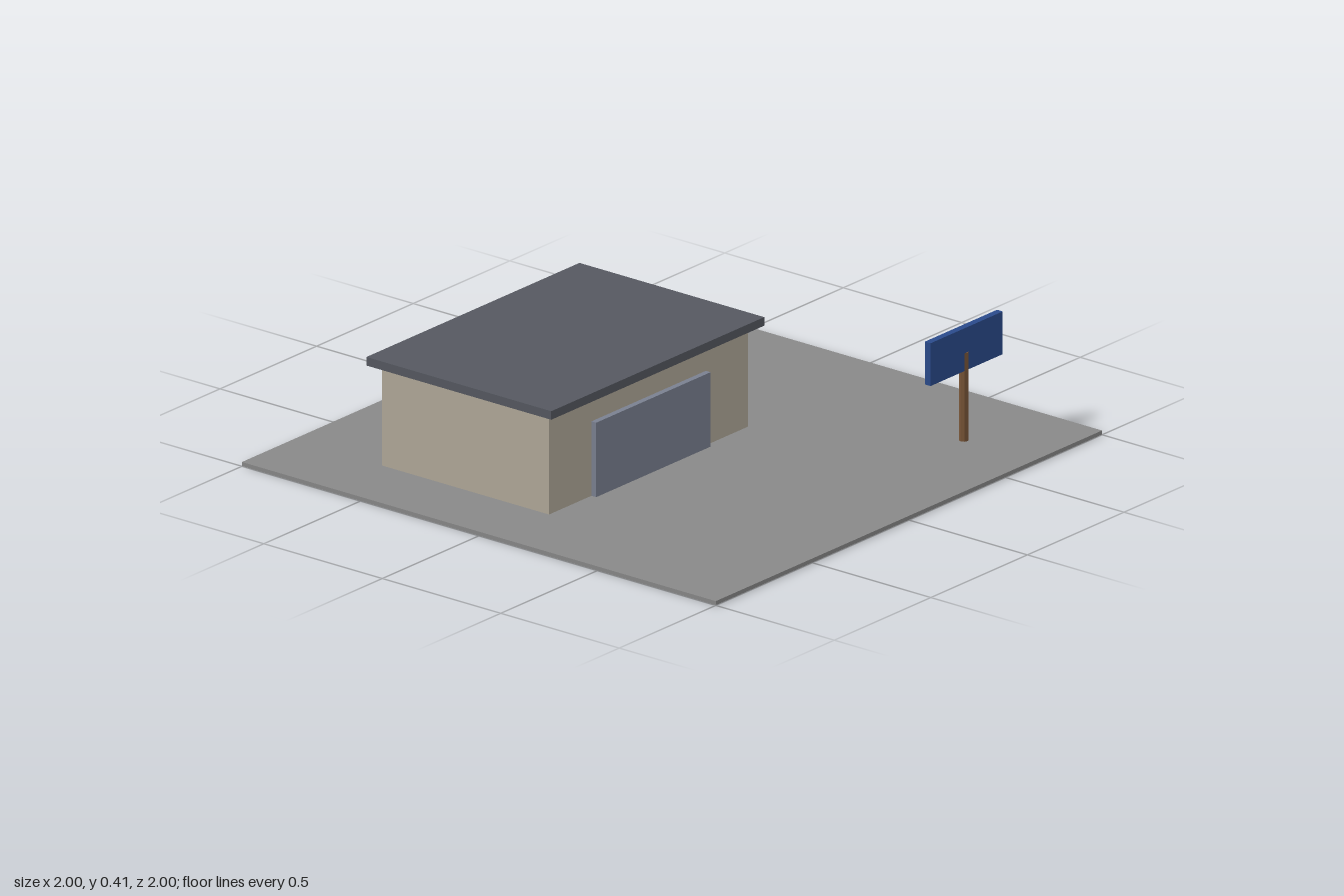
import * as THREE from 'three';

export function createModel() {
  const model = new THREE.Group();

  const add = (name, geometry, color, x, y, z) => {
    const material = new THREE.MeshStandardMaterial({ color, flatShading: true });
    const mesh = new THREE.Mesh(geometry, material);
    mesh.name = name;
    mesh.position.set(x, y, z);
    model.add(mesh);
    return mesh;
  };

  // Box given by its extents on each axis
  const box = (name, color, [x0, x1], [y0, y1], [z0, z1]) =>
    add(name, new THREE.BoxGeometry(x1 - x0, y1 - y0, z1 - z0), color,
      (x0 + x1) / 2, (y0 + y1) / 2, (z0 + z1) / 2);

  // Paved lot; its underside sits a hair above the foundations
  box('lot', 0x888888, [-1, 1], [0.001, 0.015], [-1, 1]);

  // Building with overhanging flat roof and wide front door
  box('walls', 0xb0a898, [-0.735, 0.295], [0, 0.367], [-0.625, 0.08]);
  box('roof', 0x555860, [-0.77, 0.333], [0.367, 0.397], [-0.662, 0.118]);
  box('door', 0x7a8090, [-0.515, 0.077], [0.015, 0.276], [0.07, 0.1]);

  // Roadside sign on a round post
  add('signPost', new THREE.CylinderGeometry(0.016, 0.016, 0.325, 8), 0x7a5638, 0.647, 0.1625, 0.704);
  box('signBoard', 0x2a4a8a, [0.46, 0.834], [0.263, 0.413], [0.692, 0.716]);

  return model;
}
